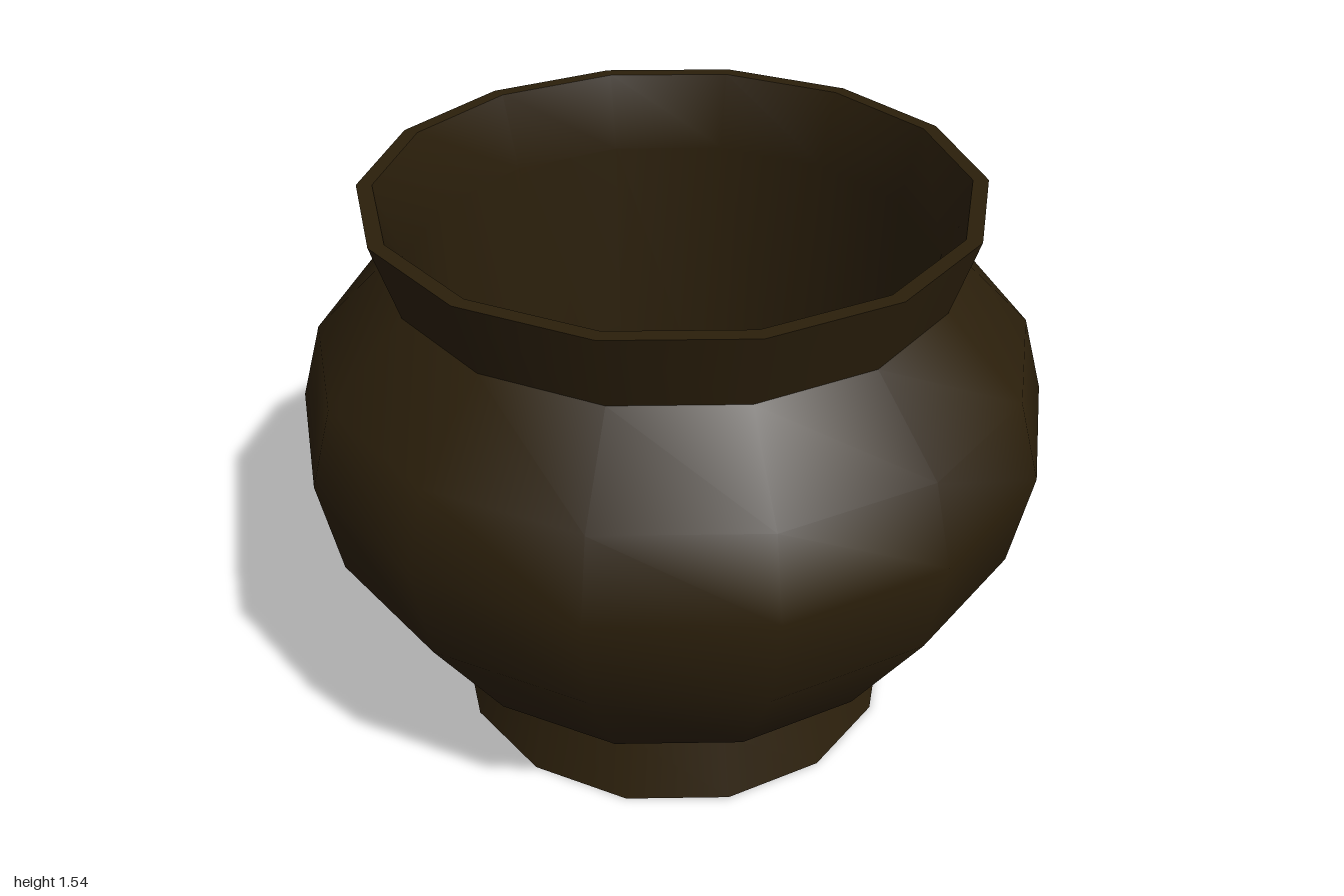
import * as THREE from 'three';

const SIDES = 14;

export function createModel() {
  const model = new THREE.Group();
  model.name = 'pot';

  const clay = new THREE.MeshStandardMaterial({ color: 0x2b1f0b });
  clay.name = 'dark brown clay';

  // Turns a profile of [radius, height] points; separate parts keep the edges between them sharp
  function turned(name, profile) {
    const points = profile.map(([r, y]) => new THREE.Vector2(r, y));
    const mesh = new THREE.Mesh(new THREE.LatheGeometry(points, SIDES, Math.PI / 2), clay);
    mesh.name = name;
    model.add(mesh);
  }

  // Flared foot
  turned('base', [[0, 0], [0.63, 0]]);
  turned('foot', [[0.63, 0], [0.575, 0.175]]);

  // Round belly
  turned('belly', [
    [0.575, 0.175], [0.737, 0.315], [0.953, 0.66],
    [1, 0.93], [0.937, 1.14], [0.73, 1.343],
  ]);

  // Flared collar with a flat lip
  turned('collar', [[0.73, 1.343], [0.792, 1.545]]);
  turned('lip', [[0.792, 1.545], [0.752, 1.545]]);

  // Hollow inside: the wall narrows at the neck, then drops straight to the floor
  turned('innerWall', [[0.752, 1.545], [0.692, 1.343], [0.69, 0.33]]);
  turned('innerFloor', [[0.69, 0.33], [0, 0.33]]);

  return model;
}
